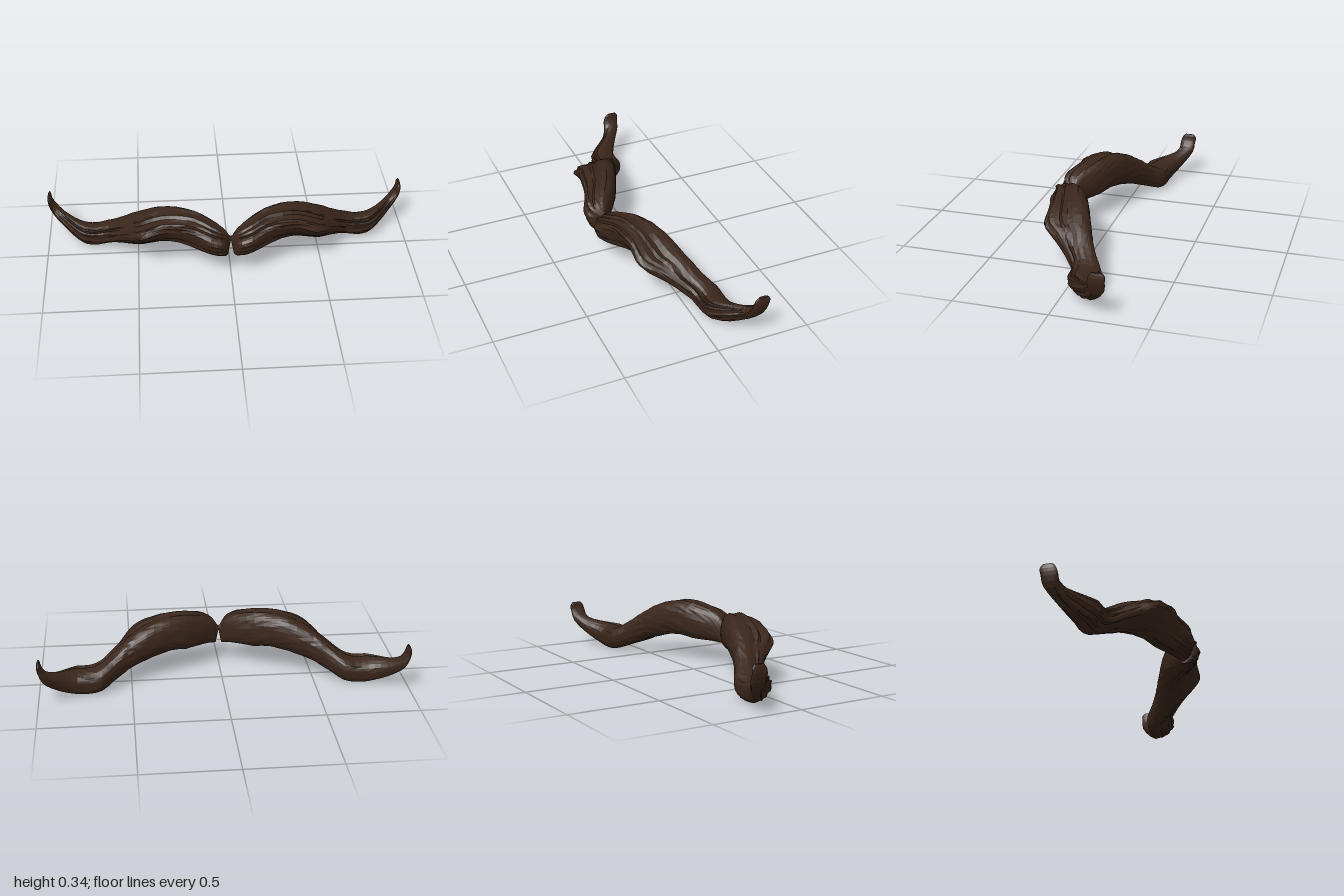
import * as THREE from 'three';

// Sections from centre to tip: upper edge x, y; lower edge x, y; front z, back z
const SECTIONS = [
  [0.0, 0.222, 0.0, 0.204, 0.21, 0.19],
  [0.012, 0.238, 0.014, 0.13, 0.225, 0.185],
  [0.03, 0.265, 0.02, 0.12, 0.255, 0.17],
  [0.055, 0.287, 0.05, 0.12, 0.28, 0.15],
  [0.11, 0.312, 0.11, 0.123, 0.28, 0.105],
  [0.19, 0.335, 0.19, 0.127, 0.245, 0.055],
  [0.28, 0.34, 0.28, 0.14, 0.23, 0.015],
  [0.37, 0.325, 0.37, 0.125, 0.213, -0.02],
  [0.45, 0.292, 0.45, 0.1, 0.205, -0.05],
  [0.5, 0.262, 0.5, 0.085, 0.185, -0.07],
  [0.54, 0.235, 0.54, 0.067, 0.13, -0.09],
  [0.6, 0.19, 0.6, 0.04, 0.058, -0.125],
  [0.66, 0.15, 0.66, 0.012, 0.0, -0.165],
  [0.72, 0.13, 0.72, 0.0, -0.014, -0.172],
  [0.79, 0.133, 0.79, 0.002, -0.022, -0.175],
  [0.85, 0.142, 0.86, 0.032, -0.078, -0.2],
  [0.905, 0.155, 0.925, 0.08, -0.145, -0.237],
  [0.95, 0.182, 0.97, 0.13, -0.182, -0.27],
  [0.972, 0.215, 0.992, 0.185, -0.188, -0.276],
  [0.976, 0.24, 0.998, 0.225, -0.198, -0.28],
  [0.981, 0.254, 0.992, 0.252, -0.215, -0.265],
];
const AROUND = 36;
const STEPS = 2;

const { smoothstep, lerp } = THREE.MathUtils;

const hash = (a, b) => {
  const s = Math.sin(a * 127.1 + b * 311.7) * 43758.5453;
  return s - Math.floor(s);
};

// Smooth interpolation between sections
function sectionAt(t) {
  const last = SECTIONS.length - 1;
  const i = Math.min(Math.floor(t), last - 1);
  const f = t - i;
  const row = (k) => SECTIONS[Math.max(0, Math.min(last, k))];
  return row(i).map((b, k) => {
    const c = row(i + 1)[k];
    const m0 = (c - row(i - 1)[k]) / 2;
    const m1 = (row(i + 2)[k] - b) / 2;
    const f2 = f * f, f3 = f2 * f;
    return (2 * f3 - 3 * f2 + 1) * b + (f3 - 2 * f2 + f) * m0 + (3 * f2 - 2 * f3) * c + (f3 - f2) * m1;
  });
}

// Depth of the hair grooves, running lengthwise and changing slowly
function groove(j, t) {
  const u = t / 2.5 + hash(j, 9) * 3;
  const i = Math.floor(u);
  return lerp(hash(j, i), hash(j, i + 1), u - i);
}

// Shift in z, as a share of the depth: the underside is cut back,
// the upper edge leans back near the arch and forward near the tip
function lean(v, w, t) {
  const start = smoothstep(t, 4, 7);
  const end = 1 - smoothstep(t, 15, 18);
  if (v < 0) return 0.34 * v * ((1 + w) / 2) * start * end;
  return lerp(-0.1, 0.14, smoothstep(t, 9.5, 12)) * v * (1 - w * w) * end;
}

// Raises the front bulge towards the upper edge
function lift(v, w, t) {
  const amount = 0.4 * smoothstep(t, 3.5, 7) * (1 - smoothstep(t, 10, 13));
  return amount * Math.max(0, w) * Math.max(0, 1 - Math.abs(v));
}

function halfGeometry(side) {
  const rings = (SECTIONS.length - 1) * STEPS;
  const positions = [];
  const index = [];
  const squash = (v) => Math.sign(v) * Math.pow(Math.abs(v), 0.82);
  for (let i = 0; i <= rings; i++) {
    const t = i / STEPS;
    const [xt, yt, xb, yb, zf, zr] = sectionAt(t);
    const fade = Math.min(1, t / 3, (SECTIONS.length - 1 - t) / 5);
    for (let j = 0; j < AROUND; j++) {
      const a = (j / AROUND) * Math.PI * 2;
      // Deep grooves in front, shallow uneven facets behind
      const front = smoothstep(Math.cos(a), -0.35, 0.4);
      const dent = (0.03 + 0.22 * front) * groove(j, t) + 0.035 * hash(j + 40, i);
      const r = 1 + (0.02 + 0.06 * front - dent) * fade;
      const w = squash(Math.cos(a)) * r;
      const flat = squash(Math.sin(a)) * r;
      const v = flat + lift(flat, w, t);
      positions.push(
        side * ((xt + xb) / 2 + (v * (xt - xb)) / 2),
        Math.max(0, (yt + yb) / 2 + (v * (yt - yb)) / 2),
        (zf + zr) / 2 + (w / 2 + lean(flat, w, t)) * (zf - zr),
      );
    }
  }
  const face = (a, b, c) => (side > 0 ? index.push(a, b, c) : index.push(a, c, b));
  for (let i = 0; i < rings; i++) {
    for (let j = 0; j < AROUND; j++) {
      const k = (j + 1) % AROUND;
      const a = i * AROUND + j, b = i * AROUND + k;
      face(a, a + AROUND, b);
      face(b, a + AROUND, b + AROUND);
    }
  }
  // End caps
  const end = rings * AROUND;
  for (let j = 1; j < AROUND - 1; j++) {
    face(0, j, j + 1);
    face(end, end + j + 1, end + j);
  }
  const indexed = new THREE.BufferGeometry();
  indexed.setAttribute('position', new THREE.Float32BufferAttribute(positions, 3));
  indexed.setIndex(index);
  const geometry = indexed.toNonIndexed();
  geometry.computeVertexNormals();
  return geometry;
}

export function createModel() {
  const group = new THREE.Group();
  group.name = 'moustache';
  const hair = new THREE.MeshStandardMaterial({ color: 0x3a261b, flatShading: true });
  for (const [name, side] of [['leftHalf', 1], ['rightHalf', -1]]) {
    const half = new THREE.Mesh(halfGeometry(side), hair);
    half.name = name;
    group.add(half);
  }
  return group;
}
